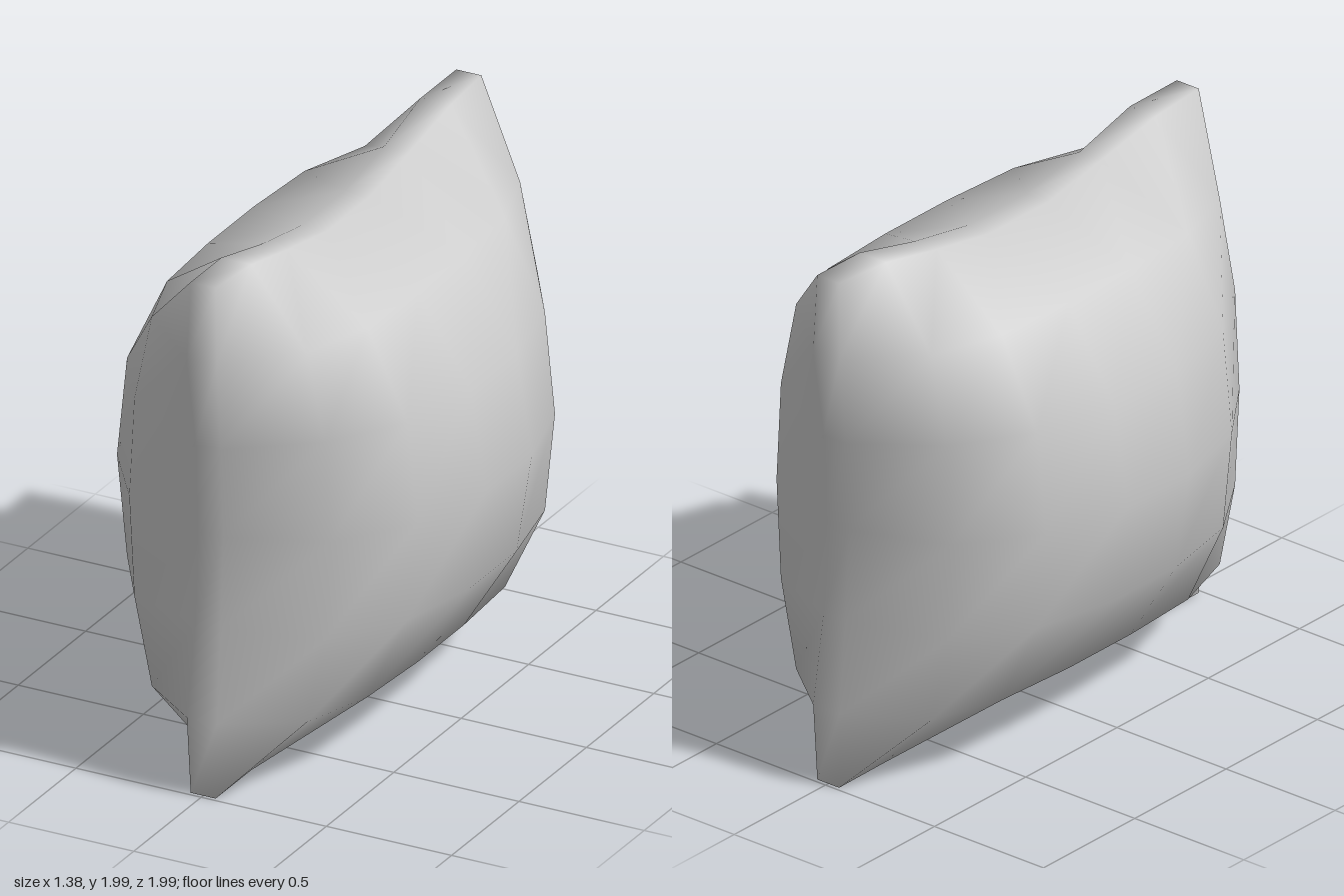
import * as THREE from 'three';
import { mergeVertices } from 'three/addons/utils/BufferGeometryUtils.js';

// Half thickness by row (centre to seam, upward) and column (centre to seam, sideways)
const THICKNESS = [
  [0.69, 0.60, 0.40, 0.05],
  [0.63, 0.56, 0.38, 0.05],
  [0.42, 0.40, 0.31, 0.06],
  [0.05, 0.05, 0.06, 0.05],
];
// Positions of rows and columns inside the panel and along the seams
const ROW_INNER = [0, 0.385, 0.72];
const ROW_AT_SIDE_SEAM = [0, 0.35, 0.70];
const COL_INNER = [0.17, 0.51, 0.79];
const COL_AT_TOP_SEAM = [0.16, 0.45, 0.74];
// Seams bow inward between the corners
const TOP_SEAM = [0.87, 0.92, 0.985, 0.995];
const SIDE_SEAM = [0.93, 0.95, 0.995, 0.985];

function cushionGeometry() {
  const geo = new THREE.BoxGeometry(2, 2, 2, 1, 6, 7);
  geo.deleteAttribute('uv');
  geo.deleteAttribute('normal');
  const p = geo.attributes.position;
  for (let i = 0; i < p.count; i++) {
    const x = p.getX(i), y = p.getY(i), z = p.getZ(i);
    const row = Math.round(Math.abs(y) * 3);
    const col = Math.round((Math.abs(z) * 7 - 1) / 2);
    const h = row === 3 ? TOP_SEAM[col] : (col === 3 ? ROW_AT_SIDE_SEAM : ROW_INNER)[row];
    const w = col === 3 ? SIDE_SEAM[row] : (row === 3 ? COL_AT_TOP_SEAM : COL_INNER)[col];
    const sy = row === 0 ? 0 : Math.sign(y);
    p.setXYZ(i, Math.sign(x) * THICKNESS[row][col], 1 + sy * h, Math.sign(z) * w);
  }
  // Weld the panels to the narrow seam band for soft shading
  const welded = mergeVertices(geo, 1e-4);
  welded.computeVertexNormals();
  return welded;
}

export function createModel() {
  const group = new THREE.Group();
  group.name = 'pillow';
  const cushion = new THREE.Mesh(
    cushionGeometry(),
    new THREE.MeshStandardMaterial({ color: 0xcccccc })
  );
  cushion.name = 'cushion';
  group.add(cushion);
  return group;
}
